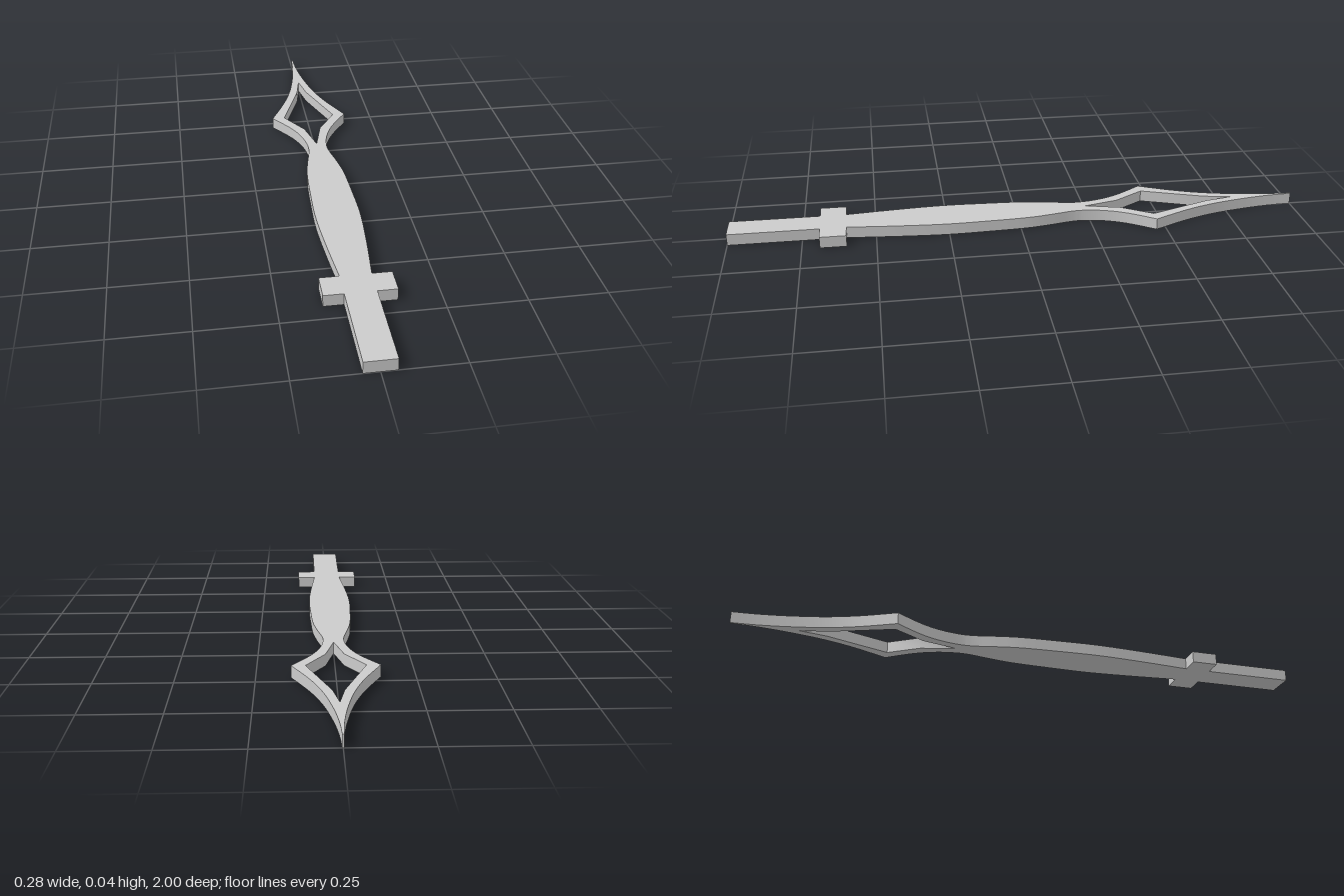
import * as THREE from 'three';
import { toCreasedNormals } from 'three/addons/utils/BufferGeometryUtils.js';

const THICKNESS = 0.04;
const material = new THREE.MeshStandardMaterial({ color: 0xcccccc });

const vectors = (pairs) => pairs.map(([x, y]) => new THREE.Vector2(x, y));

// Closes a right-hand edge with its mirror image
function mirrored(edge) {
  const left = edge.filter((p) => p.x > 0).map((p) => new THREE.Vector2(-p.x, p.y)).reverse();
  return [...edge, ...left];
}

// Extrudes a plan outline (x, -z) upwards from the ground
function slab(name, edge, holeEdge) {
  const shape = new THREE.Shape(mirrored(edge));
  if (holeEdge) shape.holes.push(new THREE.Path(mirrored(holeEdge)));
  const geometry = new THREE.ExtrudeGeometry(shape, { depth: THICKNESS, bevelEnabled: false });
  geometry.rotateX(-Math.PI / 2);
  const mesh = new THREE.Mesh(toCreasedNormals(geometry, 0.35), material);
  mesh.name = name;
  return mesh;
}

export function createModel() {
  const group = new THREE.Group();
  group.name = 'dagger';

  // Straight grip and crossguard
  group.add(slab('grip', vectors([[0.05, -1], [0.05, -0.69]])));
  group.add(slab('crossguard', vectors([[0.114, -0.69], [0.114, -0.6]])));

  // Swelling blade, narrow waist, flare to a sharp shoulder, concave taper to the tip
  const lower = new THREE.SplineCurve(vectors([
    [0.05, -0.6], [0.066, -0.42], [0.075, -0.26], [0.072, -0.12], [0.065, 0.02],
    [0.051, 0.11], [0.037, 0.18], [0.035, 0.23], [0.048, 0.3], [0.08, 0.375], [0.14, 0.465],
  ])).getPoints(50);
  const upper = new THREE.SplineCurve(vectors([
    [0.14, 0.465], [0.082, 0.59], [0.045, 0.7], [0.02, 0.82], [0.007, 0.92], [0.003, 1],
  ])).getPoints(24);

  // Pointed window through the blade head
  const hole = vectors([[0, 0.24], [0.03, 0.36], [0.095, 0.465], [0.018, 0.68], [0, 0.775]]);
  group.add(slab('blade', [...lower, ...upper.slice(1)], hole));

  return group;
}
